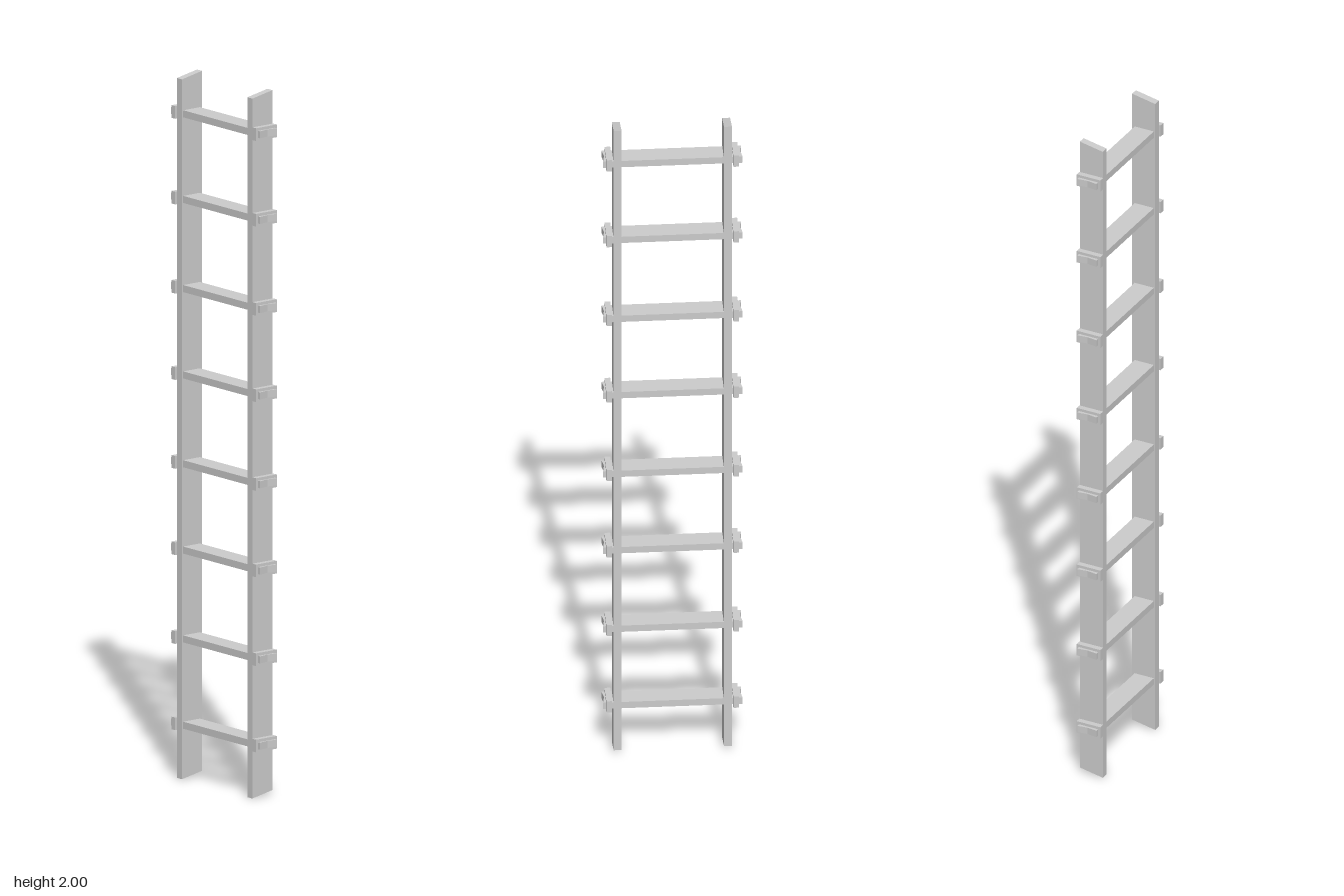
import * as THREE from 'three';

const material = new THREE.MeshStandardMaterial({ color: 0xcccccc, flatShading: true });

function add(parent, name, geometry, x = 0, y = 0, z = 0) {
  const mesh = new THREE.Mesh(geometry, material);
  mesh.name = name;
  mesh.position.set(x, y, z);
  parent.add(mesh);
}

export function createModel() {
  const ladder = new THREE.Group();
  ladder.name = 'ladder';

  // Side rails: planks whose ends are cut at a slant, higher at the back
  const railGeometry = new THREE.BoxGeometry(0.022, 1.986, 0.072);
  const p = railGeometry.attributes.position;
  for (let i = 0; i < p.count; i++) p.setY(i, p.getY(i) - p.getZ(i) * 0.19);
  railGeometry.computeVertexNormals();
  add(ladder, 'leftRail', railGeometry, 0.153, 1, -0.002);
  add(ladder, 'rightRail', railGeometry, -0.153, 1, -0.002);

  // Flat rung outline seen from above, with shallow notched ends
  const outline = new THREE.Shape([
    [-0.194, -0.03], [0.193, -0.03], [0.188, 0], [0.193, 0.03], [-0.194, 0.03], [-0.19, 0],
  ].map(([x, z]) => new THREE.Vector2(x, z)));
  const rungGeometry = new THREE.ExtrudeGeometry(outline, { depth: 0.02, bevelEnabled: false });
  rungGeometry.translate(0, 0, -0.01).rotateX(-Math.PI / 2);

  // Locking blocks hold each rung just outside the rails
  const blockGeometry = new THREE.BoxGeometry(0.016, 0.036, 0.074);
  const rungHeights = [0.153, 0.398, 0.65, 0.895, 1.147, 1.392, 1.645, 1.888];
  rungHeights.forEach((y, i) => {
    const step = new THREE.Group();
    step.name = `step${i + 1}`;
    add(step, 'rung', rungGeometry);
    add(step, 'leftLockingBlock', blockGeometry, 0.176);
    add(step, 'rightLockingBlock', blockGeometry, -0.176);
    step.position.y = y;
    ladder.add(step);
  });

  return ladder;
}
